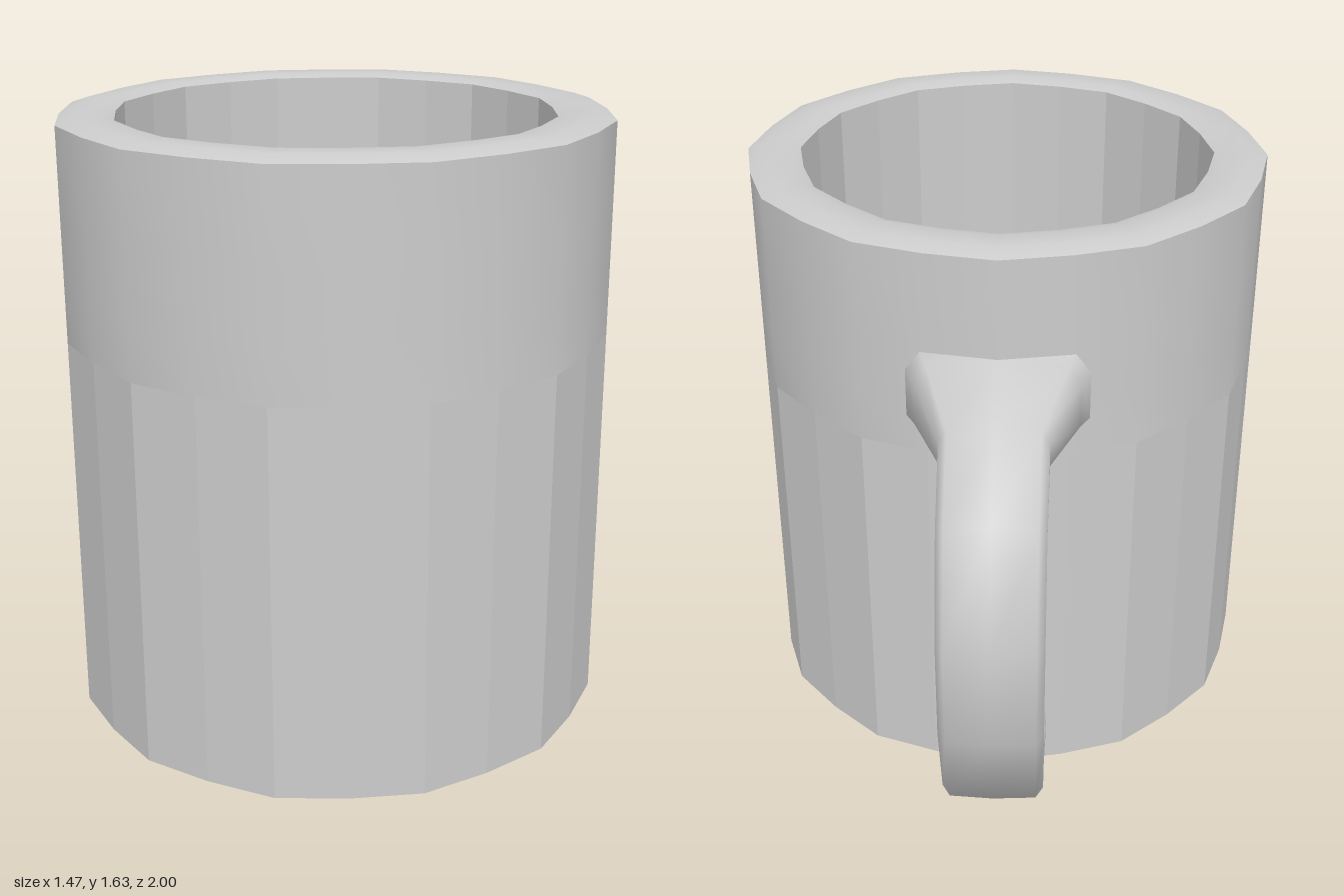
import * as THREE from 'three';
import { toCreasedNormals } from 'three/addons/utils/BufferGeometryUtils.js';

const SIDES = 24, CENTRE_Z = 0.26;
const faceted = new THREE.MeshStandardMaterial({ color: 0xcccccc, flatShading: true });
const smooth = new THREE.MeshStandardMaterial({ color: 0xcccccc });

// Turned part with 24 sides; every second corner is pulled in slightly
function turned(name, profile, material) {
  let geo = new THREE.LatheGeometry(profile.map(([r, y]) => new THREE.Vector2(r, y)), SIDES);
  const pos = geo.attributes.position;
  for (let i = 0; i < pos.count; i++) {
    const side = Math.floor(i / profile.length);
    const k = side % 2 ? 0.983 : 1;
    pos.setXYZ(i, pos.getX(i) * k, pos.getY(i), pos.getZ(i) * k);
  }
  geo = toCreasedNormals(geo, 0.7);
  const mesh = new THREE.Mesh(geo, material);
  mesh.name = name;
  mesh.position.z = CENTRE_Z;
  return mesh;
}

// Handle stations: outer edge (z, y), inner edge (z, y), half width
const STATIONS = [
  [-0.42, 1.36, -0.42, 1.06, 0.24],
  [-0.48, 1.345, -0.48, 1.08, 0.215],
  [-0.68, 1.26, -0.68, 1.12, 0.138],
  [-0.89, 1.11, -0.8, 1.02, 0.135],
  [-1, 0.82, -0.86, 0.83, 0.135],
  [-0.985, 0.52, -0.855, 0.55, 0.135],
  [-0.86, 0.22, -0.785, 0.33, 0.135],
  [-0.63, 0.09, -0.65, 0.23, 0.135],
  [-0.42, 0.04, -0.42, 0.225, 0.14],
];
// Rounded cross-section: across the width, and from inner (-1) to outer (1) edge
const SECTION = [[0.85, 0.92], [0, 1], [-0.85, 0.92], [-1, 0.5], [-1, -0.4],
  [-0.6, -0.95], [0, -1], [0.6, -0.95], [1, -0.4], [1, 0.5]];

function handleGeometry() {
  const points = [], index = [], n = SECTION.length;
  STATIONS.forEach(([zo, yo, zi, yi, w], s) => {
    for (const [u, v] of SECTION) {
      const t = (v + 1) / 2;
      points.push(u * w, yi + (yo - yi) * t, zi + (zo - zi) * t);
    }
    if (s === 0) return;
    for (let j = 0; j < n; j++) {
      const a = (s - 1) * n + j, b = (s - 1) * n + (j + 1) % n;
      index.push(a, a + n, b, b, a + n, b + n);
    }
  });
  // End caps inside the wall
  const last = (STATIONS.length - 1) * n;
  for (let j = 1; j < n - 1; j++) {
    index.push(0, j, j + 1, last, last + j + 1, last + j);
  }
  const geo = new THREE.BufferGeometry();
  geo.setAttribute('position', new THREE.Float32BufferAttribute(points, 3));
  geo.setIndex(index);
  return toCreasedNormals(geo, 1.2);
}

export function createModel() {
  const mug = new THREE.Group();
  mug.name = 'mug';

  // Outside: faceted lower wall with flat base, smoother upper band, bevelled rim
  mug.add(turned('base', [[0, 0], [0.735, 0]], faceted));
  mug.add(turned('lowerWall', [[0.735, 0], [0.735, 1.05]], faceted));
  mug.add(turned('upperBand', [[0.735, 1.05], [0.735, 1.21], [0.735, 1.375], [0.735, 1.62]], smooth));
  mug.add(turned('rim', [[0.735, 1.62], [0.69, 1.635], [0.62, 1.635], [0.585, 1.625]], smooth));

  // Inside: faceted wall and floor
  mug.add(turned('innerWall', [[0.585, 1.625], [0.585, 0.15]], faceted));
  mug.add(turned('innerFloor', [[0.585, 0.15], [0, 0.15]], faceted));

  // Handle flaring into the wall at the top
  const handle = new THREE.Mesh(handleGeometry(), smooth);
  handle.name = 'handle';
  mug.add(handle);

  return mug;
}
